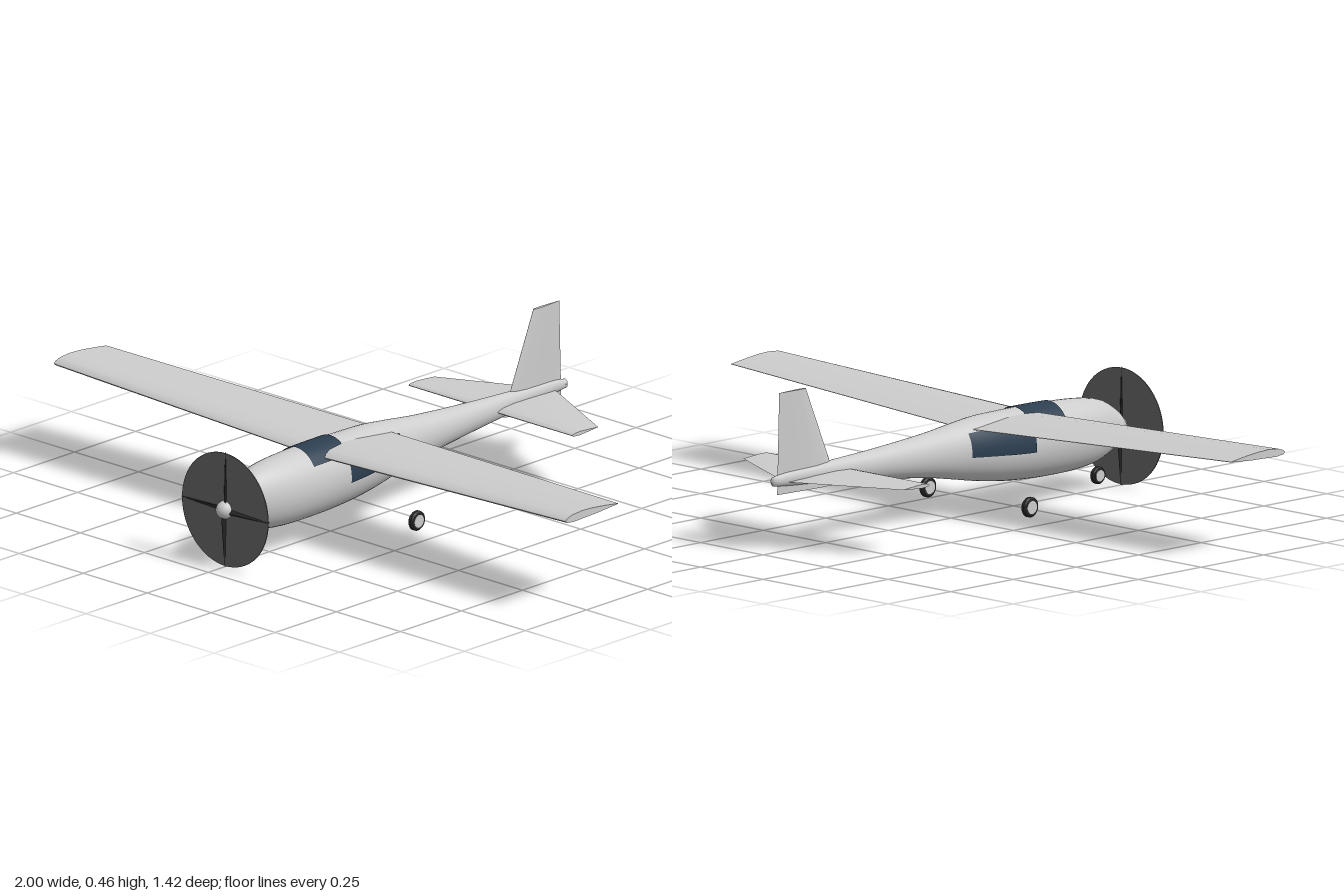
import * as THREE from 'three';
import { toCreasedNormals } from 'three/addons/utils/BufferGeometryUtils.js';

const mat = (name, color, extra = {}) => Object.assign(new THREE.MeshStandardMaterial({ color, ...extra }), { name });

// Skin between rings of [x, y, z] points; rings turn clockwise seen along the direction of travel.
function loft(rings, { closed = true, caps = true, crease = 0 } = {}) {
  const n = rings[0].length, index = [];
  for (let i = 0; i < rings.length - 1; i++) {
    for (let j = 0; j < (closed ? n : n - 1); j++) {
      const k = (j + 1) % n, a = i * n + j, b = i * n + k;
      index.push(a, a + n, b, b, a + n, b + n);
    }
  }
  if (caps) {
    const e = (rings.length - 1) * n;
    for (let j = 1; j < n - 1; j++) index.push(0, j, j + 1, e, e + j + 1, e + j);
  }
  const g = new THREE.BufferGeometry();
  g.setAttribute('position', new THREE.Float32BufferAttribute(rings.flat(2), 3));
  g.setIndex(index);
  g.computeVertexNormals();
  return crease ? toCreasedNormals(g, crease) : g;
}

// Fuselage stations: z, top, bottom, half width
const STATIONS = [
  [0.675, 0.203, 0.145, 0.028], [0.65, 0.227, 0.124, 0.04], [0.6, 0.258, 0.099, 0.057],
  [0.55, 0.272, 0.084, 0.07], [0.48, 0.28, 0.076, 0.08], [0.4, 0.284, 0.074, 0.085],
  [0.3, 0.286, 0.076, 0.086], [0.2, 0.286, 0.083, 0.083], [0.1, 0.284, 0.096, 0.075],
  [0, 0.274, 0.115, 0.06], [-0.1, 0.262, 0.133, 0.05], [-0.3, 0.247, 0.157, 0.036],
  [-0.5, 0.237, 0.176, 0.022], [-0.66, 0.228, 0.189, 0.013], [-0.71, 0.221, 0.194, 0.01],
];

// Smoothly interpolated [top, bottom, half width] at z
function station(z) {
  const S = STATIONS, last = S.length - 1;
  let i = 0;
  while (i < last - 1 && z < S[i + 1][0]) i++;
  const slope = (k, c) => {
    const p = S[Math.max(k - 1, 0)], q = S[Math.min(k + 1, last)];
    return (q[c] - p[c]) / (q[0] - p[0]);
  };
  const h = S[i + 1][0] - S[i][0], t = (z - S[i][0]) / h, t2 = t * t, t3 = t2 * t;
  return [1, 2, 3].map((c) => (2 * t3 - 3 * t2 + 1) * S[i][c] + (t3 - 2 * t2 + t) * h * slope(i, c)
    + (3 * t2 - 2 * t3) * S[i + 1][c] + (t3 - t2) * h * slope(i + 1, c));
}

// Point on the fuselage skin, pushed out by lift
function skin(z, a, lift = 0) {
  const [top, bottom, half] = station(z);
  return [(half + lift) * Math.cos(a), (top + bottom) / 2 + ((top - bottom) / 2 + lift) * Math.sin(a), z];
}

// Thin pane following the skin between two z values and two angles
function pane(z0, z1, a0, a1) {
  const rings = [];
  for (let i = 0; i <= 10; i++) {
    const z = z0 + (z1 - z0) * i / 10;
    rings.push(Array.from({ length: 21 }, (_, j) => skin(z, a0 + (a1 - a0) * j / 20, 0.003)));
  }
  return loft(rings, { closed: false, caps: false });
}

// Aerofoil sections as [fraction back from leading edge, height]
const CAMBERED = [[1, 0.35], [0.6, 0.12], [0.15, 0], [0.03, 0.12], [0, 0.35], [0.03, 0.62],
  [0.12, 0.87], [0.3, 1], [0.5, 0.93], [0.75, 0.7], [1, 0.4]];
const UPPER = [[0.02, 0.22], [0.1, 0.42], [0.3, 0.5], [0.6, 0.33]];
const SYMMETRIC = [[1, 0], ...UPPER.map(([c, t]) => [c, -t]).reverse(), [0, 0], ...UPPER];

// Section lying across x, for wing and tailplane
const rib = (foil, x, y, front, back, thick) =>
  foil.map(([c, t]) => [x, y + t * thick, front + (back - front) * c]);
// Section lying across y, for the fin
const finRib = (y, front, back, thick) =>
  SYMMETRIC.map(([c, t]) => [-t * thick, y, front + (back - front) * c]);

export function createModel() {
  const model = new THREE.Group();
  model.name = 'airplane';
  const paint = mat('light grey paint', 0xcccccc);
  const glass = mat('navy glass', 0x2c3e50, { side: THREE.DoubleSide });
  const black = mat('dark rubber', 0x2b2b2b);
  const discGrey = mat('propeller disc grey', 0x626265);

  const add = (name, geometry, material, parent = model) => {
    const m = new THREE.Mesh(geometry, material);
    m.name = name;
    parent.add(m);
    return m;
  };

  // Body
  const rings = [];
  for (let i = 0; i <= 70; i++) {
    const z = 0.675 - 1.385 * i / 70;
    rings.push(Array.from({ length: 40 }, (_, j) => skin(z, j / 40 * Math.PI * 2)));
  }
  add('fuselage', loft(rings), paint);

  // Glazing
  add('windshield', pane(0.39, 0.25, 0.66, Math.PI - 0.66), glass);
  add('leftWindow', pane(0.255, 0.02, -0.13, 0.73), glass);
  add('rightWindow', pane(0.255, 0.02, Math.PI - 0.73, Math.PI + 0.13), glass);

  // Wing with slight dihedral, straight leading edge
  add('wing', loft([
    rib(CAMBERED, -1, 0.279, 0.335, 0.12, 0.025),
    rib(CAMBERED, -0.04, 0.247, 0.338, 0.045, 0.028),
    rib(CAMBERED, 0.04, 0.247, 0.338, 0.045, 0.028),
    rib(CAMBERED, 1, 0.279, 0.335, 0.12, 0.025),
  ], { crease: 0.7 }), paint);

  // Tail surfaces
  add('tailplane', loft([
    rib(SYMMETRIC, -0.32, 0.201, -0.405, -0.51, 0.011),
    rib(SYMMETRIC, 0, 0.201, -0.405, -0.665, 0.019),
    rib(SYMMETRIC, 0.32, 0.201, -0.405, -0.51, 0.011),
  ], { crease: 0.7 }), paint);
  add('fin', loft([
    finRib(0.167, -0.455, -0.694, 0.018),
    finRib(0.46, -0.58, -0.686, 0.01),
  ], { crease: 0.7 }), paint);

  // Propeller
  const propeller = new THREE.Group();
  propeller.name = 'propeller';
  propeller.position.set(0, 0.173, 0.68);
  model.add(propeller);
  add('propellerDisc', new THREE.CylinderGeometry(0.168, 0.168, 0.003, 64).rotateX(Math.PI / 2), discGrey, propeller);
  for (let i = 0; i < 4; i++) {
    const blade = new THREE.CylinderGeometry(0.003, 0.014, 0.17, 10)
      .scale(1, 1, 0.35).rotateY(-Math.PI / 4).translate(0, 0.085, 0);
    add('propellerBlade', blade, black, propeller).rotation.z = i * Math.PI / 2;
  }
  const spinner = new THREE.SphereGeometry(0.027, 24, 12, 0, Math.PI * 2, 0, Math.PI / 2);
  add('spinner', spinner.rotateX(Math.PI / 2).scale(1, 1, 1.2).translate(0, 0, -0.003), paint, propeller);

  // Wheels
  for (const [name, x, y, z, r] of [['noseWheel', 0, 0.044, 0.586, 0.025],
    ['leftWheel', 0.204, 0.048, 0.111, 0.029], ['rightWheel', -0.204, 0.048, 0.111, 0.029]]) {
    const wheel = new THREE.Group();
    wheel.name = name;
    wheel.position.set(x, y, z);
    model.add(wheel);
    const w = 0.009;
    const profile = [[0.5, -w], [0.85, -w], [1, -w * 0.5], [1, w * 0.5], [0.85, w], [0.5, w]]
      .map(([f, h]) => new THREE.Vector2(f * r, h));
    const tyre = toCreasedNormals(new THREE.LatheGeometry(profile, 28), 0.6);
    add('tyre', tyre.rotateZ(Math.PI / 2), black, wheel);
    add('hub', new THREE.CylinderGeometry(r * 0.65, r * 0.65, w * 2 + 0.002, 24).rotateZ(Math.PI / 2), paint, wheel);
  }
  return model;
}
